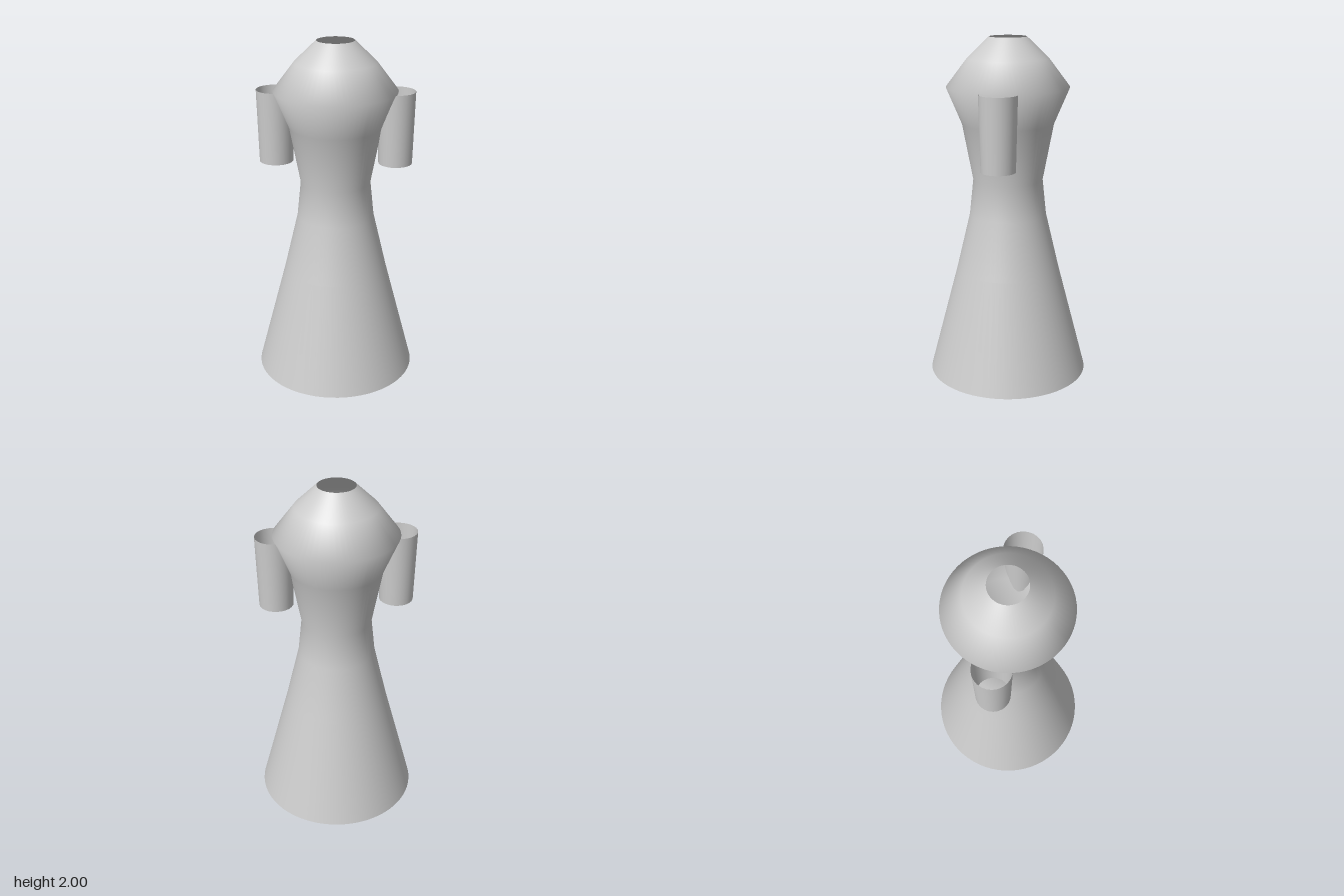
import * as THREE from 'three';

export function createModel() {
  const model = new THREE.Group();
  const material = new THREE.MeshStandardMaterial({ color: 0xcccccc, side: THREE.DoubleSide });

  // Hollow turned body, open at the foot and at the mouth
  const profile = [
    [0.47, 0], [0.303, 0.64], [0.225, 0.97], [0.203, 1.18],
    [0.265, 1.51], [0.353, 1.72], [0.232, 1.88], [0.107, 2],
  ].map(([r, y]) => new THREE.Vector2(r, y));
  const body = new THREE.Mesh(new THREE.LatheGeometry(profile, 64), material);
  body.name = 'body';
  model.add(body);

  // Slightly tapered open tube on each side, partly sunk into the body
  const bottom = 1.3, top = 1.72;
  const tubeGeometry = new THREE.CylinderGeometry(0.107, 0.097, top - bottom, 24, 1, true);
  for (const side of [1, -1]) {
    const tube = new THREE.Mesh(tubeGeometry, material);
    tube.name = side > 0 ? 'leftTube' : 'rightTube';
    tube.position.set(side * 0.343, (bottom + top) / 2, 0);
    model.add(tube);
  }

  return model;
}
